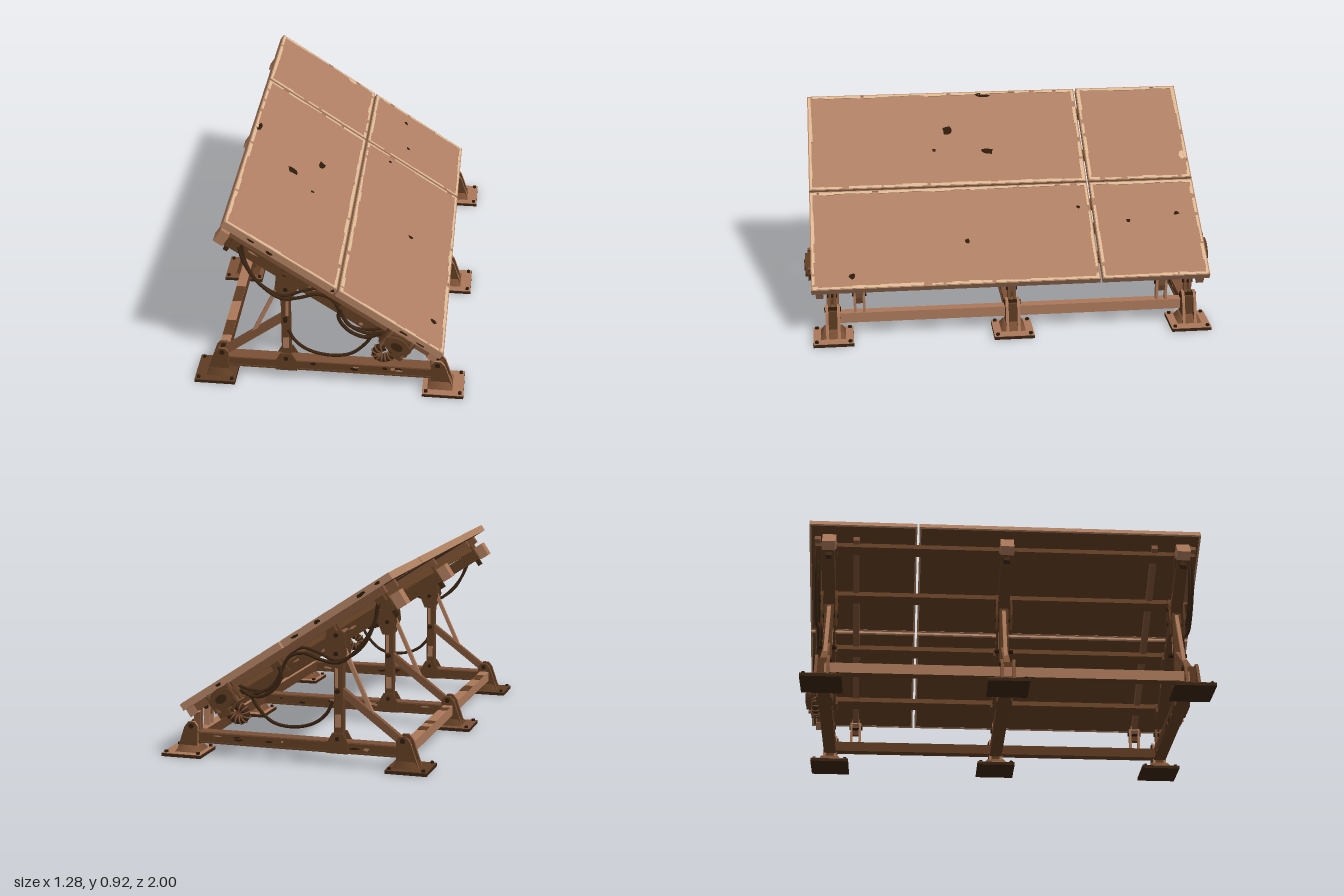
import * as THREE from 'three';

const mat = (name, color) => { const m = new THREE.MeshStandardMaterial({ color }); m.name = name; return m; };
const M = {
  panel: mat('panel brown', 0xaf7f64),
  rim: mat('rim tan', 0xae8062),
  wear: mat('worn cream', 0xdcb793),
  dark: mat('dark rust', 0x5e3c22),
  steel: mat('rust steel', 0xab785a),
  mid: mat('mid rust', 0x7a5035),
  cable: mat('cable brown', 0x3a2412),
  chip: mat('chip black brown', 0x2c1a0a),
};

let seed = 11;
const rnd = () => (seed = (seed * 16807) % 2147483647) / 2147483647;

function add(parent, name, geo, m, x = 0, y = 0, z = 0) {
  const mesh = new THREE.Mesh(geo, m);
  mesh.name = name;
  mesh.position.set(x, y, z);
  parent.add(mesh);
  return mesh;
}
const box = (p, name, m, w, h, d, x, y, z) => add(p, name, new THREE.BoxGeometry(w, h, d), m, x, y, z);

// Bar between two points in the x-y plane
function strut(p, name, m, x1, y1, x2, y2, t, d, z) {
  const b = box(p, name, m, Math.hypot(x2 - x1, y2 - y1), t, d, (x1 + x2) / 2, (y1 + y2) / 2, z);
  b.rotation.z = Math.atan2(y2 - y1, x2 - x1);
}

// Flat plate with an x-y outline, centred on z
function plate(p, name, m, pts, d, z) {
  const g = new THREE.ExtrudeGeometry(new THREE.Shape(pts.map(q => new THREE.Vector2(...q))), { depth: d, bevelEnabled: false });
  add(p, name, g.translate(0, 0, -d / 2), m, 0, 0, z);
}

function bolt(p, x, y, z, r = 0.011, len = 0.1) {
  add(p, 'bolt', new THREE.CylinderGeometry(r, r, len, 6).rotateX(Math.PI / 2), M.chip, x, y, z);
}

function tube(p, name, m, pts, r) {
  const c = new THREE.CatmullRomCurve3(pts.map(q => new THREE.Vector3(...q)));
  add(p, name, new THREE.TubeGeometry(c, 40, r, 7), m);
}

// Irregular flake lying on a horizontal surface
function flake(p, m, rx, rz, x, y, z) {
  const g = new THREE.CircleGeometry(1, 9).rotateX(-Math.PI / 2);
  const a = g.attributes.position;
  for (let i = 1; i < a.count - 1; i++) {
    const k = 0.6 + rnd() * 0.6;
    a.setXYZ(i, a.getX(i) * rx * k, 0, a.getZ(i) * rz * k);
  }
  a.setXYZ(a.count - 1, a.getX(1), 0, a.getZ(1));
  return add(p, 'paintChip', g, m, x, y, z);
}

// Flakes scattered on both z faces of a bar running along x
function scatter(p, m, n, x0, x1, y, h, z, half) {
  for (let i = 0; i < n; i++) {
    for (const c of [-1, 1]) {
      const f = flake(p, m, 0.008 + rnd() * 0.022, 0.004 + rnd() * 0.006, x0 + rnd() * (x1 - x0), y + (rnd() - 0.5) * h, z + c * (half + 0.001));
      f.rotation.x = c * Math.PI / 2;
    }
  }
}

// One panel: slab with a dark underside, rim bars and broken worn strips along its edges
function panel(p, s0, s1, z0, z1) {
  const w = s1 - s0, d = z1 - z0, cs = (s0 + s1) / 2, cz = (z0 + z1) / 2, e = 0.009;
  const g = new THREE.Group();
  g.name = 'panel';
  p.add(g);
  box(g, 'panelFace', [M.panel, M.panel, M.panel, M.dark, M.panel, M.panel], w - 2 * e, 0.03, d - 2 * e, cs, -0.018, cz);
  for (const k of [-1, 1]) {
    box(g, 'panelRim', M.rim, e, 0.034, d, cs + k * (w - e) / 2, -0.017, cz);
    box(g, 'panelRim', M.rim, w - 2 * e, 0.034, e, cs, -0.017, cz + k * (d - e) / 2);
    for (const along of [true, false]) {
      const len = along ? d : w;
      for (let t = 0.008; t < len - 0.03;) {
        const l = Math.min(0.03 + rnd() * 0.1, len - 0.008 - t), t2 = 0.009 + rnd() * 0.009;
        const off = k * ((along ? w : d) / 2 - e - t2 / 2 + 0.004), mid = t + l / 2 - len / 2;
        if (along) box(g, 'wornEdge', M.wear, t2, 0.003, l, cs + off, 0, cz + mid);
        else box(g, 'wornEdge', M.wear, l, 0.003, t2, cs + mid, 0, cz + off);
        t += l + (rnd() < 0.3 ? 0.04 * rnd() : 0);
      }
    }
  }
}

// Ground foot: plate, stepped pedestal, hinge cheeks; k is the x side
function foot(p, k, z) {
  const g = new THREE.Group();
  g.name = 'foot';
  g.position.set(k * 0.5425, 0, z);
  p.add(g);
  const m = k > 0 ? M.steel : z === 0 ? M.mid : M.dark;
  box(g, 'footPlate', M.cable, 0.195, 0.015, 0.195, 0, 0.0075, 0);
  box(g, 'footPlateTop', m, 0.194, 0.002, 0.194, 0, 0.016, 0);
  add(g, 'pedestal', new THREE.CylinderGeometry(0.06, 0.085, 0.03, 4).rotateY(Math.PI / 4), k > 0 ? M.mid : M.dark, -k * 0.015, 0.031, 0);
  for (const c of [-1, 1]) {
    const pts = [[0.045, 0.017], [0.005, 0.135], [-0.015, 0.16], [-0.045, 0.16], [-0.06, 0.14], [-0.06, 0.017]].map(([x, y]) => [k * x, y]);
    plate(g, 'hingeCheek', [M.dark, k > 0 ? M.steel : M.mid], k > 0 ? pts : pts.reverse(), 0.014, c * 0.028);
    for (const b of [-1, 1]) add(g, 'anchorBolt', new THREE.CylinderGeometry(0.009, 0.009, 0.012, 6), M.chip, b * 0.08, 0.021, c * 0.08);
  }
  box(g, 'hingeCore', M.dark, 0.055, 0.1, 0.046, -k * 0.03, 0.09, 0);
  bolt(g, -k * 0.03, 0.14, 0, 0.013, 0.08);
}

// Upright frame in one x-y plane
function frame(p, z) {
  const g = new THREE.Group();
  g.name = 'supportFrame';
  p.add(g);
  box(g, 'baseBeam', M.dark, 0.98, 0.042, 0.05, 0, 0.088, z);
  for (const [y, m] of [[0.112, M.mid], [0.064, M.dark]]) box(g, 'baseFlange', m, 0.98, 0.007, 0.062, 0, y, z);
  scatter(g, M.steel, 4, -0.43, 0.43, 0.088, 0.025, z, 0.025);
  scatter(g, M.chip, 4, -0.43, 0.43, 0.088, 0.025, z, 0.025);
  box(g, 'post', M.dark, 0.042, 0.54, 0.045, -0.205, 0.36, z);
  for (const c of [-1, 1]) {
    plate(g, 'postShoe', M.dark, [[-0.255, 0.06], [-0.155, 0.06], [-0.155, 0.11], [-0.18, 0.155], [-0.23, 0.155], [-0.255, 0.11]], 0.01, z + c * 0.034);
    plate(g, 'postHead', M.dark, [[-0.225, 0.46], [-0.175, 0.46], [-0.145, 0.53], [-0.15, 0.6], [-0.18, 0.67], [-0.24, 0.62], [-0.25, 0.53]], 0.01, z + c * 0.036);
    box(g, 'rustPatch', M.steel, 0.028, 0.06, 0.002, -0.205, 0.21, z + c * 0.0235);
    box(g, 'rustPatch', M.steel, 0.014, 0.09, 0.002, -0.197, 0.41, z + c * 0.0235);
  }
  strut(g, 'brace', M.mid, -0.49, 0.14, -0.2, 0.36, 0.034, 0.03, z);
  strut(g, 'braceRod', M.steel, -0.365, 0.24, -0.215, 0.57, 0.018, 0.018, z);
  for (const [x, y] of [[-0.205, 0.13], [-0.205, 0.35], [-0.2, 0.525], [-0.2, 0.61]]) bolt(g, x, y, z, 0.011, 0.09);
  foot(g, -1, z);
  foot(g, 1, z);
}

// Cables, hose and motor at one end; k is the z side
function endGear(p, k) {
  const g = new THREE.Group();
  g.name = 'endGear';
  p.add(g);
  const path = (pts, z) => pts.map(([x, y]) => [x, y, k * z]);
  const long = [[-0.41, 0.78], [-0.39, 0.69], [-0.33, 0.58], [-0.22, 0.49], [-0.13, 0.5], [-0.05, 0.525], [0.02, 0.5], [0.06, 0.42], [0.1, 0.36], [0.19, 0.32], [0.28, 0.33]];
  tube(g, 'longCable', M.cable, path(long, 0.93), 0.008);
  tube(g, 'longCable', M.cable, path(long.map(([x, y], i) => [x + 0.012, y - 0.03 * Math.sin(i * 1.1)]), 0.915), 0.007);
  tube(g, 'lowCable', M.cable, path([[-0.19, 0.31], [-0.16, 0.25], [-0.1, 0.2], [0, 0.175], [0.1, 0.19], [0.17, 0.25], [0.22, 0.33]], 0.92), 0.008);
  tube(g, 'shortCable', M.cable, path([[0.06, 0.46], [0.05, 0.41], [0.1, 0.34], [0.18, 0.31], [0.25, 0.34]], 0.945), 0.009);
  // Ribbed hose under the motor
  const hose = path([[0.31, 0.24], [0.29, 0.205], [0.25, 0.195], [0.225, 0.215], [0.235, 0.245], [0.27, 0.26]], 0.94);
  tube(g, 'hose', M.cable, hose, 0.02);
  const curve = new THREE.CatmullRomCurve3(hose.map(q => new THREE.Vector3(...q)));
  for (let i = 1; i < 10; i++) {
    const ring = add(g, 'hoseRib', new THREE.TorusGeometry(0.021, 0.004, 5, 10), M.mid);
    ring.position.copy(curve.getPoint(i / 10));
    ring.lookAt(ring.position.clone().add(curve.getTangent(i / 10)));
  }
  // Motor body with an oval end cap
  const motor = new THREE.Group();
  motor.name = 'motor';
  motor.position.set(0.325, 0.3, k * 0.95);
  motor.rotation.z = -0.583;
  g.add(motor);
  box(motor, 'motorBox', M.dark, 0.15, 0.09, 0.06, 0, 0, -k * 0.01);
  for (const [r, len, z, m] of [[0.05, 0.06, 0, M.dark], [0.042, 0.02, 0.035, M.dark], [0.02, 0.01, 0.045, M.cable]])
    add(motor, 'motorCap', new THREE.CylinderGeometry(r, r, len, 16).rotateX(Math.PI / 2).scale(1.5, 1, 1), m, 0, 0, k * z);
  for (const x of [-0.06, 0.055]) box(motor, 'motorBand', M.mid, 0.012, 0.1, 0.075, x, 0, -k * 0.005);
  box(motor, 'motorPlug', M.dark, 0.06, 0.05, 0.05, 0.04, -0.055, -k * 0.01);
}

export function createModel() {
  const model = new THREE.Group();
  model.name = 'solarRack';
  const zs = [-0.87, 0, 0.87];
  zs.forEach(z => frame(model, z));

  // Ground beams joining the frames, pale on top and outside
  for (const [x, sides] of [[-0.517, [M.dark, M.steel]], [0.485, [M.steel, M.dark]]])
    box(model, 'groundBeam', [...sides, M.steel, M.dark, M.dark, M.dark], 0.048, 0.05, 1.72, x, 0.09, 0);
  for (const [z, l] of [[-0.54, 0.07], [-0.41, 0.05], [-0.12, 0.06], [0.38, 0.13], [0.67, 0.12]])
    box(model, 'beamStain', M.dark, 0.046, 0.002, l, -0.517, 0.1155, z);

  // Tilted table: x runs down the slope, y is the panel normal
  const tilt = new THREE.Group();
  tilt.name = 'tiltedTable';
  tilt.position.set(0.04, 0.585, 0);
  tilt.rotation.z = -0.583;
  model.add(tilt);
  for (const [s0, s1] of [[-0.6, 0.007], [0.017, 0.6]]) {
    panel(tilt, s0, s1, -0.972, -0.442);
    panel(tilt, s0, s1, -0.431, 0.968);
  }
  for (const [x, z, rx, rz] of [[-0.44, 0.06, 0.016, 0.04], [-0.13, 0.06, 0.022, 0.035], [-0.25, 0.25, 0.028, 0.03], [-0.145, 0.33, 0.01, 0.01],
    [0.33, 0.2, 0.014, 0.014], [0.48, 0.77, 0.02, 0.016], [0.23, -0.86, 0.012, 0.016], [0.26, -0.61, 0.012, 0.012], [0.18, -0.37, 0.01, 0.01]])
    flake(tilt, M.chip, rx, rz, (x - 0.04) / 0.836, 0.0015, z);
  flake(tilt, M.wear, 0.035, 0.016, -0.14, 0.001, -0.945);
  scatter(tilt, M.chip, 5, -0.55, 0.55, -0.018, 0.01, -0.002, 0.97);

  // Rails under the panels, cross purlins, and main sloping beams
  for (const z of [-0.93, -0.74, 0, 0.74, 0.93]) {
    box(tilt, 'panelRail', M.mid, 1.13, 0.036, 0.03, 0.03, -0.052, z);
    box(tilt, 'railEnd', M.steel, 0.045, 0.042, 0.036, 0.575, -0.056, z);
  }
  for (const s of [-0.49, -0.215, 0.1, 0.42]) {
    box(tilt, 'purlin', M.dark, 0.045, 0.04, 1.88, s, -0.078, 0);
    for (const z of zs) box(tilt, 'purlinClamp', M.dark, 0.06, 0.07, 0.075, s, -0.1, z);
  }
  for (const z of zs) {
    box(tilt, 'mainBeam', M.dark, 1.03, 0.056, 0.056, -0.055, -0.125, z);
    box(tilt, 'beamEnd', M.steel, 0.05, 0.072, 0.066, -0.55, -0.125, z);
    box(tilt, 'beamPin', M.cable, 0.02, 0.04, 0.03, -0.5, -0.165, z);
    scatter(tilt, M.steel, 5, -0.5, 0.4, -0.125, 0.03, z, 0.028);
  }

  // Lower edge brackets between the ground beam and the rails
  for (const [z, gap, m] of [[-0.87, 0.012, M.mid], [-0.74, 0.022, M.steel], [0, 0.014, M.mid], [0.74, 0.022, M.steel], [0.87, 0.012, M.mid]]) {
    for (const c of [-1, 1]) box(model, 'edgeBracket', m, 0.03, 0.12, 0.012, 0.49, 0.17, z + c * gap);
    box(model, 'bracketBridge', M.dark, 0.026, 0.025, 2 * gap, 0.49, 0.175, z);
    bolt(model, 0.49, 0.205, z, 0.012, 2 * gap + 0.024);
  }

  endGear(model, 1);
  endGear(model, -1);
  return model;
}
